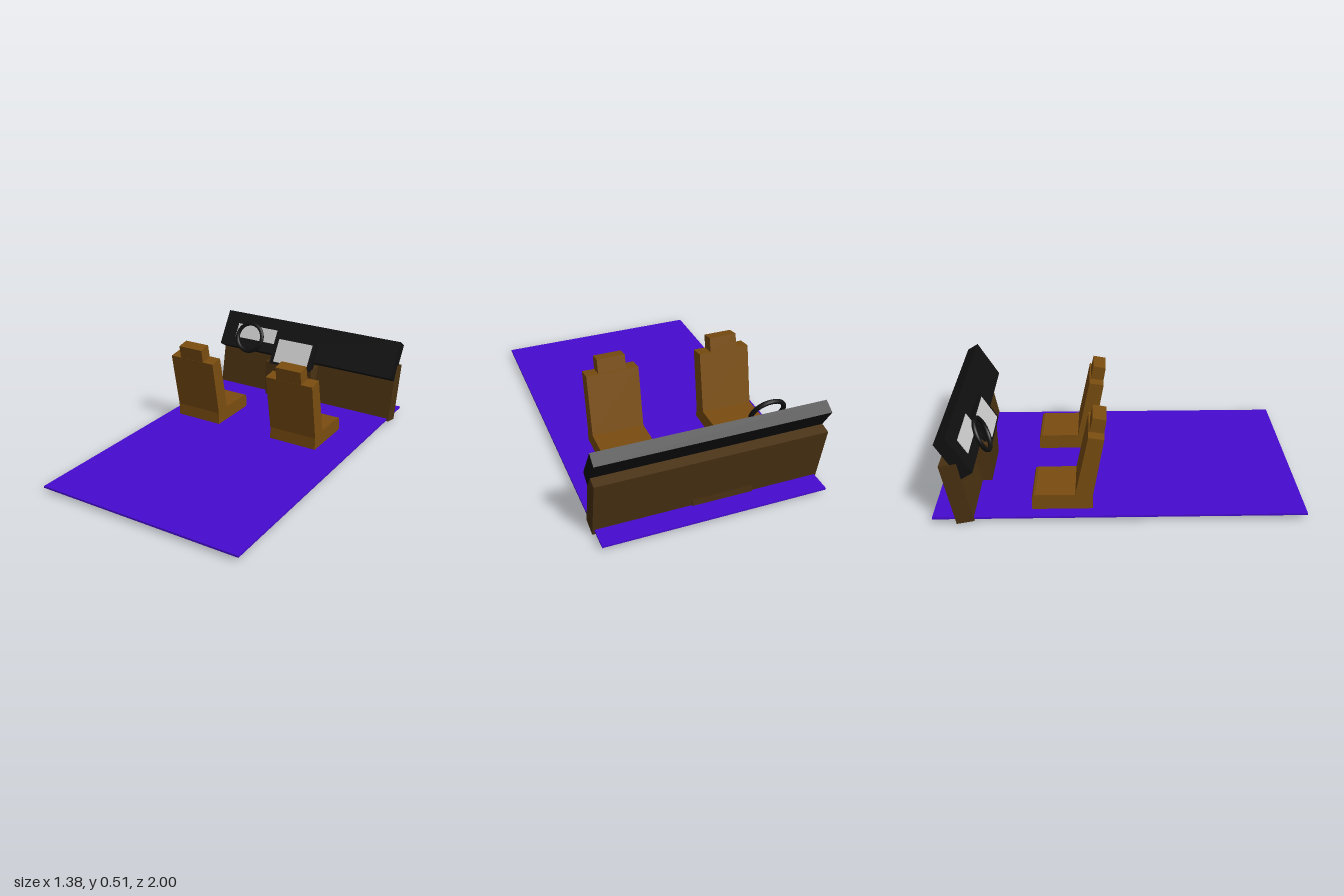
import * as THREE from 'three';

const mat = (name, color) => {
  const m = new THREE.MeshStandardMaterial({ color });
  m.name = name;
  return m;
};

export function createModel() {
  const floorPurple = mat('floorPurple', 0x470bd0);
  const seatBrown = mat('seatBrown', 0x7a4d10);
  const panelBrown = mat('panelBrown', 0x4a3212);
  const dashBlack = mat('dashBlack', 0x101010);
  const screenGrey = mat('screenGrey', 0xc8c8c8);

  const model = new THREE.Group();
  model.name = 'vehicleInterior';
  // The whole cabin is turned slightly about the vertical
  const cabin = new THREE.Group();
  cabin.name = 'cabin';
  cabin.rotation.y = 0.127;
  model.add(cabin);

  const add = (parent, name, geo, material, pos = [0, 0, 0], tilt = 0) => {
    const mesh = new THREE.Mesh(geo, material);
    mesh.name = name;
    mesh.position.set(...pos);
    mesh.rotation.x = tilt;
    parent.add(mesh);
    return mesh;
  };
  const box = (name, size, material, pos, tilt) =>
    add(cabin, name, new THREE.BoxGeometry(...size), material, pos, tilt);

  // Side profile (z, y) extruded across the width
  const sideExtrude = (points, width) => {
    const shape = new THREE.Shape(points.map(([z, y]) => new THREE.Vector2(z, y)));
    const geo = new THREE.ExtrudeGeometry(shape, { depth: width, bevelEnabled: false });
    geo.translate(0, 0, -width / 2);
    geo.rotateY(-Math.PI / 2);
    return geo;
  };

  // Floor
  box('floor', [1.15, 0.01, 1.866], floorPurple, [0, 0.027, 0]);

  // Dashboard: lower panel, tilted upper dash and centre console
  const dashTilt = -0.545;
  box('lowerPanel', [1.17, 0.333, 0.09], panelBrown, [0, 0.172, -0.798], -0.184);
  box('upperDash', [1.17, 0.222, 0.068], dashBlack, [0, 0.37, -0.797], dashTilt);
  box('centreConsole', [0.315, 0.238, 0.149], panelBrown, [-0.07, 0.131, -0.7505]);

  // Centre tablet and instrument display lie parallel to the dash face
  const ny = Math.sin(-dashTilt), nz = Math.cos(dashTilt);
  const tablet = [-0.055, 0.313, -0.723];
  box('tablet', [0.28, 0.17, 0.04], dashBlack, tablet, dashTilt);
  box('tabletScreen', [0.23, 0.146, 0.004], screenGrey,
    [tablet[0], tablet[1] + ny * 0.021, tablet[2] + nz * 0.021], dashTilt);
  box('instrumentDisplay', [0.28, 0.088, 0.006], screenGrey,
    [-0.35, 0.37 + ny * 0.035 - 0.005, -0.797 + nz * 0.035 + 0.003], dashTilt);

  // Steering wheel
  add(cabin, 'steeringWheel', new THREE.TorusGeometry(0.086, 0.012, 10, 32),
    dashBlack, [-0.352, 0.38, -0.687], -0.4);

  // Seats: cushion and backrest in one profile, narrower headrest on top
  const seatProfile = [
    [-0.443, 0.03], [-0.139, 0.03], [-0.139, 0.1], [-0.078, 0.422], [-0.156, 0.434],
    [-0.226, 0.113], [-0.425, 0.113], [-0.438, 0.108], [-0.443, 0.095],
  ];
  const headrestProfile = [[-0.08, 0.415], [-0.066, 0.495], [-0.134, 0.508], [-0.151, 0.427]];
  const seatGeo = sideExtrude(seatProfile, 0.28);
  const headrestGeo = sideExtrude(headrestProfile, 0.15);
  for (const [name, x] of [['rightSeat', -0.367], ['leftSeat', 0.257]]) {
    const seat = new THREE.Group();
    seat.name = name;
    seat.position.x = x;
    add(seat, 'seatBody', seatGeo, seatBrown);
    add(seat, 'headrest', headrestGeo, seatBrown);
    cabin.add(seat);
  }

  return model;
}
